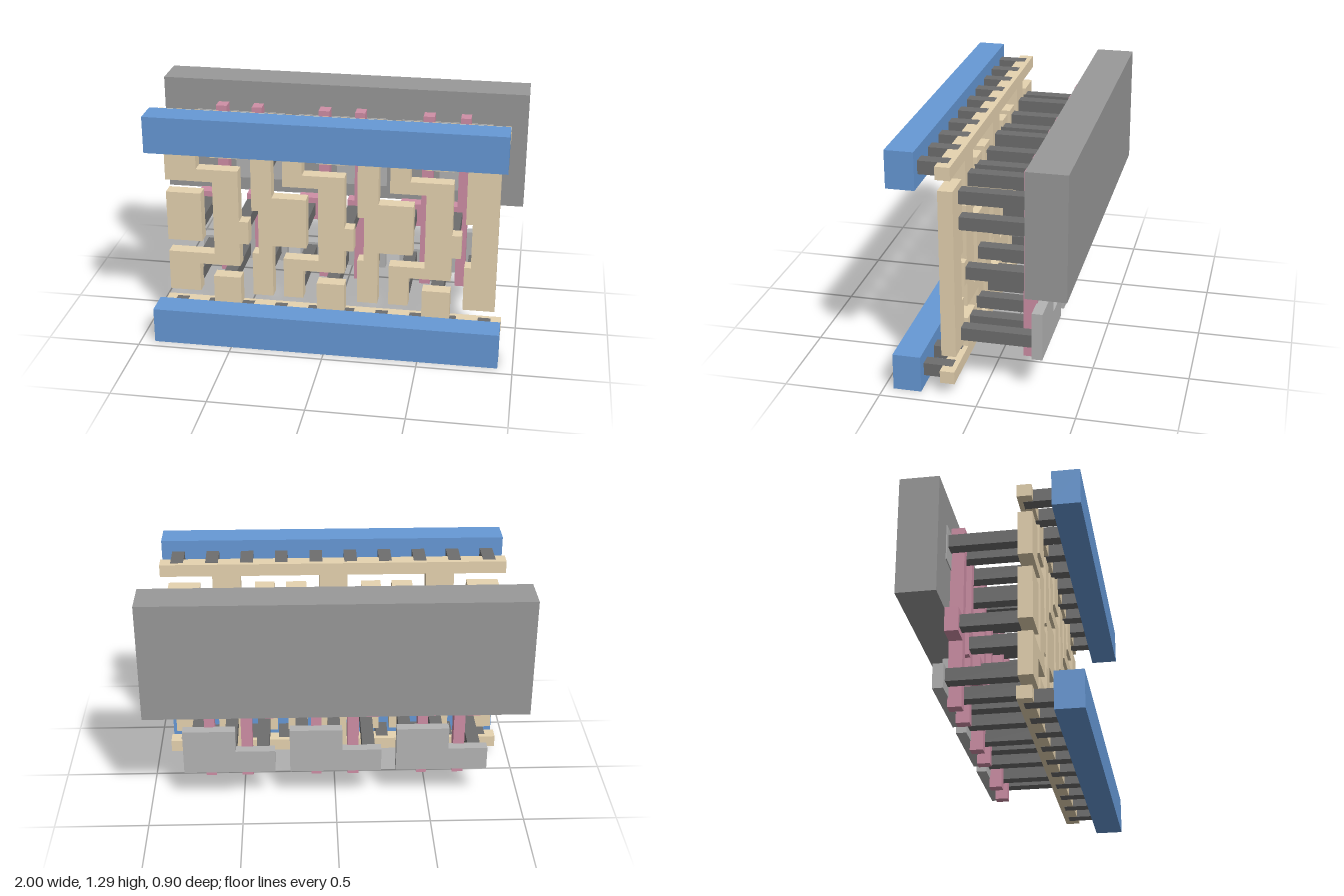
import * as THREE from 'three';

const material = (color) => new THREE.MeshStandardMaterial({ color });

export function createModel() {
  const model = new THREE.Group();
  const blue = material(0x6699d6);
  const tan = material(0xe6d3b0);
  const pink = material(0xcf8fa6);
  const dark = material(0x6e6e6e);
  const grey = material(0x999999);
  const pale = material(0xb4b4b4);

  // Box given by its limits on each axis
  const box = (parent, name, mat, x0, x1, y0, y1, z0, z1) => {
    const mesh = new THREE.Mesh(new THREE.BoxGeometry(x1 - x0, y1 - y0, z1 - z0), mat);
    mesh.position.set((x0 + x1) / 2, (y0 + y1) / 2, (z0 + z1) / 2);
    mesh.name = name;
    parent.add(mesh);
  };

  // Flat outline in x and y, given thickness along z
  const plate = (parent, name, mat, points, z0, z1) => {
    const shape = new THREE.Shape(points.map(([x, y]) => new THREE.Vector2(x, y)));
    const geometry = new THREE.ExtrudeGeometry(shape, { depth: z1 - z0, bevelEnabled: false });
    const mesh = new THREE.Mesh(geometry, mat);
    mesh.position.z = z0;
    mesh.name = name;
    parent.add(mesh);
  };

  const METAL = [0.13, 0.205];
  const GATE = [-0.245, -0.175];

  // Back block
  box(model, 'backBlock', grey, -1, 1, 0.625, 1.27, -0.45, -0.245);

  // Power rails, the strips behind them and the pegs joining the two
  for (const [name, rail, strip] of [['lower', 0, 0.065], ['upper', 1.095, 1.16]]) {
    box(model, name + 'Rail', blue, -0.922, 0.922, rail, rail + 0.195, 0.305, 0.45);
    box(model, name + 'Strip', tan, -0.922, 0.922, strip, strip + 0.067, ...METAL);
    for (let i = 0; i < 10; i++) {
      const x = -0.833 + i * 0.185;
      box(model, name + 'RailPeg', dark, x - 0.034, x + 0.034, strip - 0.001, strip + 0.068, 0.155, 0.305);
    }
  }

  // Three repeated cells, side by side
  for (let i = 0; i < 3; i++) {
    const cell = new THREE.Group();
    cell.name = 'cell';
    cell.position.x = (i - 1) * 0.57;
    model.add(cell);

    // Stepped slabs: the lower one is free, the upper one is sunk in the back block
    plate(cell, 'lowerSlab', pale, [[-0.245, 0.195], [0.245, 0.195], [0.245, 0.45],
      [-0.035, 0.45], [-0.035, 0.325], [-0.245, 0.325]], -0.295, -0.24);
    plate(cell, 'upperSlab', pale, [[-0.245, 0.9], [-0.035, 0.9], [-0.035, 0.7],
      [0.245, 0.7], [0.245, 1.095], [-0.245, 1.095]], -0.295, -0.24);

    // Gate bars with contact pads
    plate(cell, 'leftGate', pink, [[-0.125, 0.145], [-0.065, 0.145], [-0.065, 1.145], [-0.125, 1.145],
      [-0.125, 0.63], [-0.24, 0.63], [-0.24, 0.5], [-0.125, 0.5]], ...GATE);
    plate(cell, 'rightGate', pink, [[0.075, 0.145], [0.13, 0.145], [0.13, 1.145], [0.075, 1.145],
      [0.075, 0.63], [0.035, 0.63], [0.035, 0.5], [0.075, 0.5]], ...GATE);

    // Stubs hanging from the strips
    box(cell, 'lowerStub', tan, -0.075, 0.075, 0.1, 0.295, ...METAL);
    box(cell, 'upperStub', tan, -0.075, 0.075, 0.99, 1.19, ...METAL);

    // Link: left pads joined by arms to the middle column
    const left = i === 0 ? -0.32 : -0.255;
    plate(cell, 'linkPlate', tan, [[left, 0.2], [-0.15, 0.2], [-0.15, 0.365], [0.075, 0.365],
      [0.075, 0.5], [0.125, 0.5], [0.125, 0.63], [0.075, 0.63], [0.075, 0.92], [-0.15, 0.92],
      [-0.15, 1.09], [left, 1.09], [left, 0.85], [-0.065, 0.85], [-0.065, 0.43], [left, 0.43]], ...METAL);

    // Input pad of the first cell
    if (i === 0) box(cell, 'inputPad', tan, -0.32, -0.13, 0.5, 0.78, ...METAL);

    // Output column; the first two reach on to the next cell
    const right = i === 2 ? 0.315 : 0.255;
    const arm = i === 2 ? [] : [[right, 0.5], [0.44, 0.5], [0.44, 0.78], [right, 0.78]];
    plate(cell, 'outputColumn', tan, [[0.145, 0.2], [right, 0.2], ...arm, [right, 1.09],
      [0.145, 1.09], [0.145, 0.7], [0.18, 0.7], [0.18, 0.45], [0.145, 0.45]], ...METAL);

    // Long pegs from the metal back to the slabs and gates: centre x, bottom y
    const pegs = [[-0.18, 0.243], [0, 0.222], [0.18, 0.243], [-0.18, 0.53], [0.07, 0.53],
      [0.18, 0.85], [-0.18, 0.987], [0, 1.01], [0.18, 0.987]];
    for (const [x, y] of pegs) {
      box(cell, 'contactPeg', dark, x - 0.034, x + 0.034, y, y + 0.068, -0.246, 0.14);
    }
  }
  return model;
}
